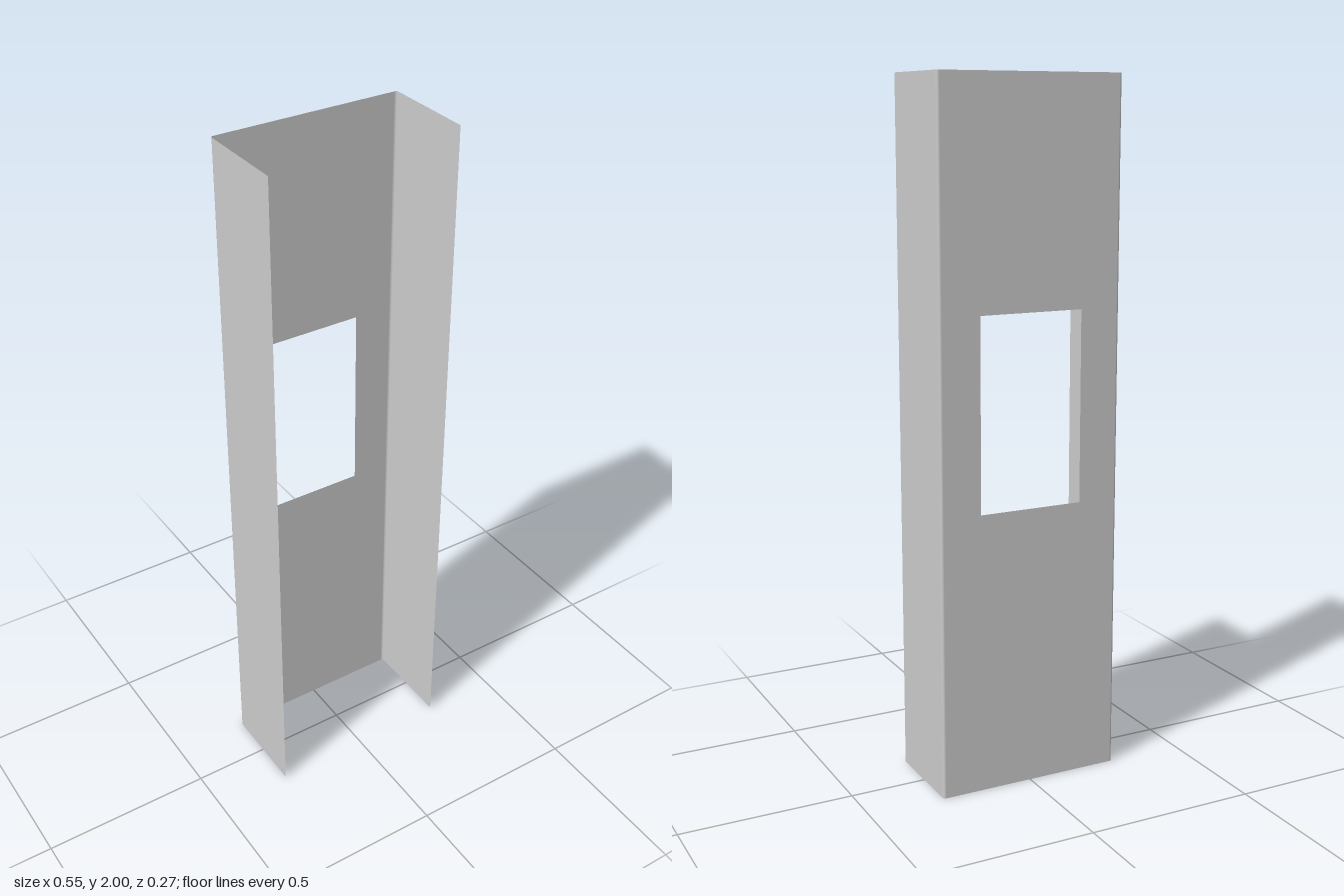
import * as THREE from 'three';

const W = 0.276, D = 0.137, H = 2, R = 0.008; // half width, half depth, height, bend radius

export function createModel() {
  const group = new THREE.Group();
  const material = new THREE.MeshStandardMaterial({ color: 0xcccccc, side: THREE.DoubleSide });
  const add = (name, geometry, x, y, z) => {
    const mesh = new THREE.Mesh(geometry, material);
    mesh.name = name;
    mesh.position.set(x, y, z);
    group.add(mesh);
  };
  const trace = (path, x, y0, y1) => {
    path.moveTo(-x, y0).lineTo(x, y0).lineTo(x, y1).lineTo(-x, y1).closePath();
    return path;
  };

  // Thin back sheet with a rectangular opening
  const sheet = trace(new THREE.Shape(), W - R, 0, H);
  sheet.holes.push(trace(new THREE.Path(), 0.155, 0.815, 1.365));
  // Outside faces the back
  add('backPanel', new THREE.ShapeGeometry(sheet).rotateY(Math.PI), 0, 0, -D);

  // Side flanges reaching forward, joined to the sheet by tight bends
  for (const [side, s] of [['left', 1], ['right', -1]]) {
    const flange = new THREE.PlaneGeometry(2 * D - R, H).rotateY(s * Math.PI / 2);
    add(side + 'Flange', flange, s * W, H / 2, R / 2);
    const start = s > 0 ? Math.PI / 2 : Math.PI;
    const bend = new THREE.CylinderGeometry(R, R, H, 4, 1, true, start, Math.PI / 2);
    add(side + 'Bend', bend, s * (W - R), H / 2, -D + R);
  }
  return group;
}
